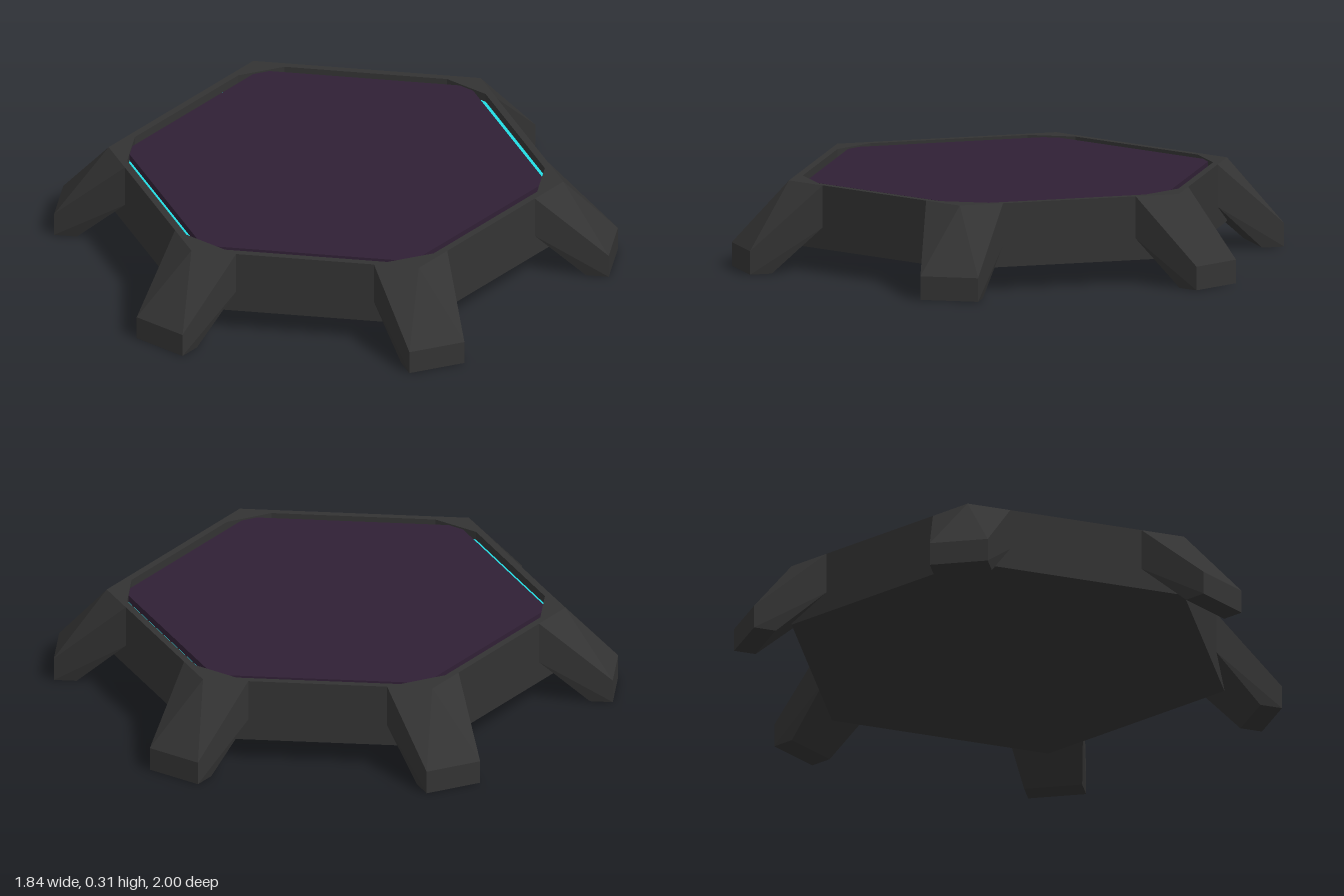
import * as THREE from 'three';
import { ConvexGeometry } from 'three/addons/geometries/ConvexGeometry.js';

const mat = (color) => new THREE.MeshStandardMaterial({ color, flatShading: true });

// Six-sided solid from a [radius, height] profile, one corner pointing to the front
function hexLathe(name, profile, material) {
  const points = profile.map(([r, y]) => new THREE.Vector2(r, y));
  const mesh = new THREE.Mesh(new THREE.LatheGeometry(points, 6), material);
  mesh.name = name;
  return mesh;
}

export function createModel() {
  const group = new THREE.Group();
  group.name = 'hexagonalPlatform';
  const dark = mat(0x333333);
  const R = 0.82, top = 0.315, base = 0.085, groove = 0.284;

  // Body with a raised rim
  group.add(hexLathe('body', [
    [0, base], [R, base], [R, top], [0.79, top], [0.79, groove],
  ], dark));

  // Bright strip at the bottom of the groove
  group.add(hexLathe('lightStrip', [[0.79, groove], [0.755, groove]], mat(0x22dde4)));

  // Top panel, a little below the rim
  group.add(hexLathe('topPanel', [
    [0.757, groove], [0.757, 0.309], [0, 0.309],
  ], mat(0x302035)));

  // Leg: wraps a body corner and slopes down to a narrower foot
  const w = 0.14, foot = 0.105;
  const wall = R - w * Math.tan(Math.PI / 6);
  const corners = [new THREE.Vector3(0, top, R)];
  for (const s of [-1, 1]) {
    corners.push(
      new THREE.Vector3(s * w, top, wall),
      new THREE.Vector3(s * w, 0.163, wall),
      new THREE.Vector3(s * foot, base, 1),
      new THREE.Vector3(s * foot, 0, 1),
      new THREE.Vector3(s * foot, 0, 0.918),
    );
  }
  const legGeometry = new ConvexGeometry(corners);
  for (let i = 0; i < 6; i++) {
    const leg = new THREE.Mesh(legGeometry, dark);
    leg.name = `leg${i + 1}`;
    leg.rotation.y = (i * Math.PI) / 3;
    group.add(leg);
  }
  return group;
}
